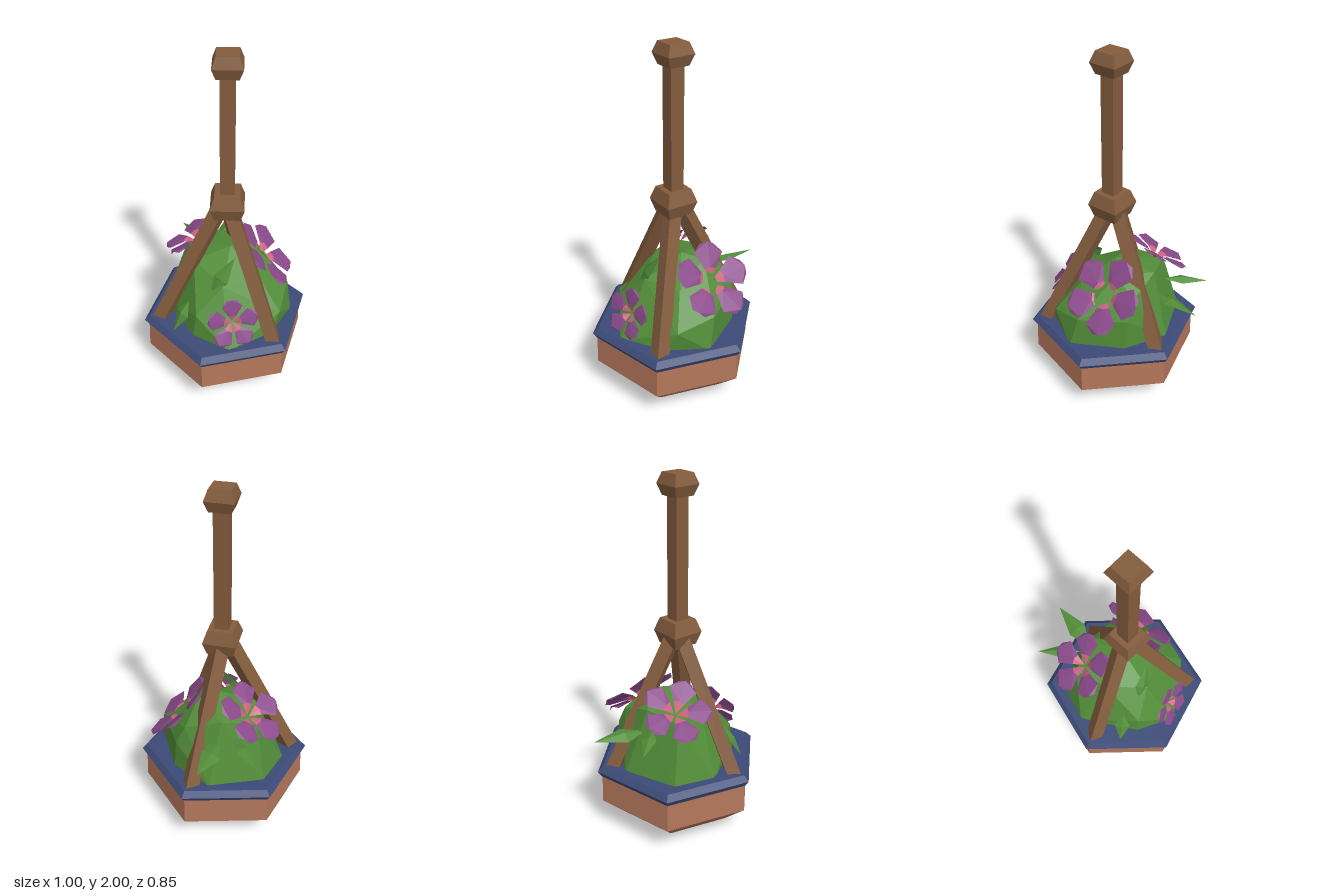
import * as THREE from 'three';
import { ConvexGeometry } from 'three/addons/geometries/ConvexGeometry.js';

const paint = (color, side = THREE.FrontSide) =>
  new THREE.MeshStandardMaterial({ color, flatShading: true, side });
const wood = paint(0x835c3d);
const clay = paint(0xb3765a);
const glaze = paint(0x3c4a77);
const green = paint(0x528d39);
const leafGreen = paint(0x528d39, THREE.DoubleSide);
const purple = paint(0x8a4a8a, THREE.DoubleSide);
const pink = paint(0xcf6583, THREE.DoubleSide);

const V = (a) => new THREE.Vector3(...a);

function add(parent, name, geometry, material) {
  const mesh = new THREE.Mesh(geometry, material);
  mesh.name = name;
  parent.add(mesh);
  return mesh;
}

// Faceted turning: profile of [radius, y] from bottom to top
function turned(profile, sides, phi) {
  return new THREE.LatheGeometry(profile.map(([r, y]) => new THREE.Vector2(r, y)), sides, phi);
}

// Small folded surface from points and triangles
function facets(points, faces) {
  const g = new THREE.BufferGeometry();
  g.setAttribute('position', new THREE.Float32BufferAttribute(points.flat(), 3));
  g.setIndex(faces.flat());
  g.computeVertexNormals();
  return g;
}

// Leaf folded along its midrib
function addLeaf(parent, from, to, up, width) {
  const base = V(from), tip = V(to), n = V(up).normalize();
  const side = tip.clone().sub(base).cross(n).normalize().multiplyScalar(width / 2);
  const mid = base.clone().lerp(tip, 0.42);
  const ridge = mid.clone().addScaledVector(n, 0.02);
  const pts = [base, mid.clone().add(side), ridge, mid.clone().sub(side), tip];
  add(parent, 'leaf', facets(pts.map((p) => p.toArray()),
    [[0, 1, 2], [1, 4, 2], [0, 2, 3], [2, 4, 3]]), leafGreen);
}

// Five broad cupped petals around a pink funnel
function addFlower(parent, centre, normal, radius, spin) {
  const flower = new THREE.Group();
  flower.name = 'flower';
  const heart = facets([[0.05, -0.12, 0], [0.33, 0.06, -0.17], [0.36, 0.1, 0], [0.33, 0.06, 0.17]],
    [[0, 2, 1], [0, 3, 2]]);
  const blade = facets([
    [0.33, 0.06, -0.17], [0.36, 0.1, 0], [0.33, 0.06, 0.17],
    [0.75, 0.14, -0.41], [0.75, 0.14, 0.41],
    [1, 0.12, -0.19], [1.02, 0.2, 0], [1, 0.12, 0.19],
  ], [[0, 1, 3], [1, 6, 3], [3, 6, 5], [1, 2, 4], [1, 4, 6], [4, 7, 6]]);
  for (let i = 0; i < 5; i++) {
    const angle = -THREE.MathUtils.degToRad(spin + i * 72);
    add(flower, 'petal', blade, purple).rotation.y = angle;
    add(flower, 'petalHeart', heart, pink).rotation.y = angle;
  }
  flower.scale.setScalar(radius);
  flower.position.set(...centre);
  flower.quaternion.setFromUnitVectors(new THREE.Vector3(0, 1, 0), V(normal).normalize());
  parent.add(flower);
}

export function createModel() {
  const model = new THREE.Group();
  model.name = 'hangingPlanter';

  // Six-sided bowl and its glazed rim
  const pot = new THREE.Group();
  pot.name = 'pot';
  pot.position.set(0.014, 0, 0.011);
  model.add(pot);
  add(pot, 'bowl', turned([[0, 0], [0.34, 0.06], [0.468, 0.175], [0.462, 0.345]], 6, Math.PI / 6), clay);
  add(pot, 'rim', turned([[0, 0.34], [0.465, 0.34], [0.488, 0.375], [0.457, 0.407], [0, 0.407]], 6, Math.PI / 6), glaze);

  // Square pole with a collar and a top knob
  const hanger = new THREE.Group();
  hanger.name = 'hanger';
  hanger.position.set(0.027, 0, 0.011);
  model.add(hanger);
  add(hanger, 'pole', turned([[0, 1.1], [0.055, 1.1], [0.055, 1.95], [0, 1.95]], 4, 0), wood);
  add(hanger, 'collar', turned([[0, 1.08], [0.1, 1.08], [0.13, 1.153], [0.097, 1.225], [0, 1.225]], 4, 0), wood);
  add(hanger, 'topKnob', turned([[0, 1.885], [0.08, 1.885], [0.108, 1.943], [0.08, 2], [0, 2]], 4, 0), wood);

  // Three struts from the collar down to the rim
  const top = new THREE.Vector3(0.02, 1.14, 0), foot = new THREE.Vector3(0.392, 0.38, 0);
  const run = foot.clone().sub(top);
  for (let i = 0; i < 3; i++) {
    const arm = new THREE.Group();
    arm.name = 'strutArm';
    arm.position.x = -0.011;
    arm.rotation.y = (i * Math.PI * 2) / 3;
    const strut = add(arm, 'strut', new THREE.CylinderGeometry(0.052, 0.052, run.length(), 4), wood);
    strut.position.copy(top).add(foot).multiplyScalar(0.5);
    strut.rotation.z = Math.atan2(run.x, -run.y);
    hanger.add(arm);
  }

  // Faceted mound of foliage
  const mound = [
    [-0.37, 0.39, 0.04], [-0.26, 0.39, 0.25], [0.08, 0.39, 0.33], [0.31, 0.39, 0.26],
    [0.37, 0.39, 0], [0.3, 0.39, -0.25], [0, 0.39, -0.33], [-0.25, 0.39, -0.25],
    [0.09, 0.55, 0.31], [0.365, 0.52, -0.08], [-0.02, 0.59, -0.325], [0.25, 0.58, -0.26],
    [-0.27, 0.74, 0.05], [-0.19, 0.77, -0.13], [-0.1, 0.75, 0.15], [0.01, 0.82, -0.03],
    [0.02, 0.8, -0.16], [0.14, 0.7, 0.15], [0.21, 0.69, -0.06], [-0.05, 0.7, -0.28],
  ];
  add(model, 'foliage', new ConvexGeometry(mound.map(V)), green);

  // Leaves
  addLeaf(model, [-0.19, 0.64, -0.14], [-0.375, 0.66, -0.39], [-0.25, 1, 0.1], 0.11);
  addLeaf(model, [-0.25, 0.69, -0.09], [-0.5, 0.665, -0.105], [-0.1, 1, 0], 0.08);
  addLeaf(model, [0, 0.59, 0.28], [-0.02, 0.41, 0.385], [0, 0.5, 0.85], 0.09);
  addLeaf(model, [0.09, 0.64, 0.2], [0.14, 0.86, 0.06], [0.5, 0.5, 0.7], 0.09);

  // Flowers
  addFlower(model, [-0.225, 0.78, 0.03], [-0.5, 0.8, 0.22], 0.185, 5);
  addFlower(model, [0.09, 0.7, -0.215], [0.5, 0.68, -0.5], 0.215, 5);
  addFlower(model, [0.275, 0.56, 0.205], [0.78, 0.36, 0.5], 0.14, 213);

  return model;
}
